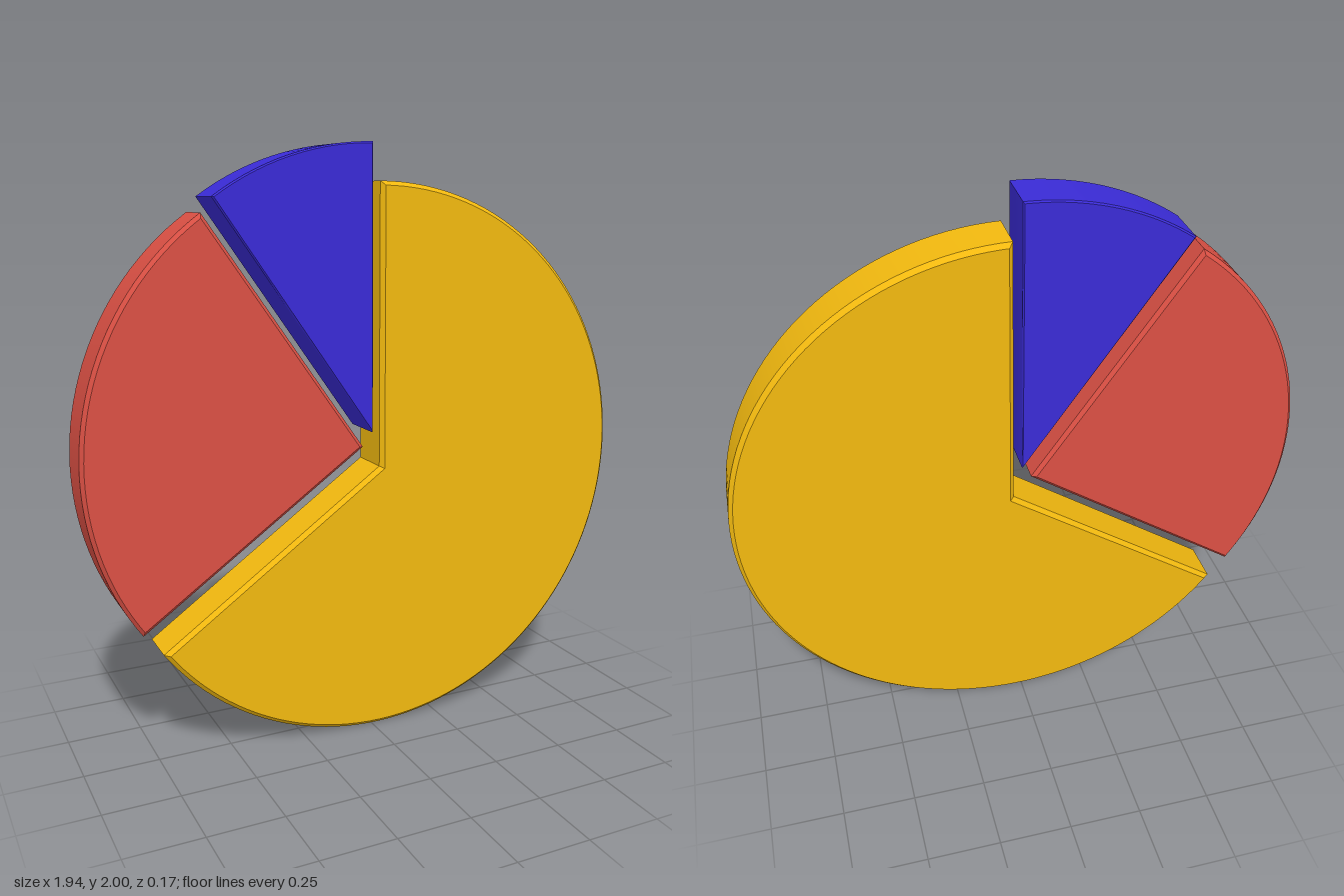
import * as THREE from 'three';
import { toCreasedNormals } from 'three/addons/utils/BufferGeometryUtils.js';

const RADIUS = 0.938;

// A pie slice with chamfered edges; angles in degrees, counter-clockwise from +x
function slice(name, color, x, y, from, to, depth, bevel) {
  const a = THREE.MathUtils.degToRad(from);
  const b = THREE.MathUtils.degToRad(to);
  const shape = new THREE.Shape();
  shape.moveTo(0, 0);
  shape.lineTo(RADIUS * Math.cos(a), RADIUS * Math.sin(a));
  shape.absarc(0, 0, RADIUS, a, b, false);
  const geometry = new THREE.ExtrudeGeometry(shape, {
    depth: depth - 2 * bevel,
    curveSegments: Math.ceil((to - from) / 5),
    bevelThickness: bevel,
    bevelSize: bevel,
    bevelOffset: -bevel, // keeps the outline at the given radius
    bevelSegments: 1,
  });
  geometry.translate(0, 0, bevel - depth / 2);
  const mesh = new THREE.Mesh(
    toCreasedNormals(geometry, 0.5),
    new THREE.MeshStandardMaterial({ color })
  );
  mesh.name = name;
  mesh.position.set(x, y, 0);
  return mesh;
}

export function createModel() {
  const group = new THREE.Group();
  group.name = 'pieChart';
  group.add(
    // Large slice, open towards the upper left
    slice('largeSlice', 0xf2b90f, 0.028, 0.942, -144.9, 90, 0.174, 0.014),
    // Middle slice, pulled out to the side
    slice('middleSlice', 0xdb5044, -0.033, 1.015, 125, 215, 0.166, 0.012),
    // Small slice, pulled out to the top
    slice('smallSlice', 0x3a2bd6, 0, 1.062, 90, 125, 0.166, 0.005)
  );
  return group;
}
